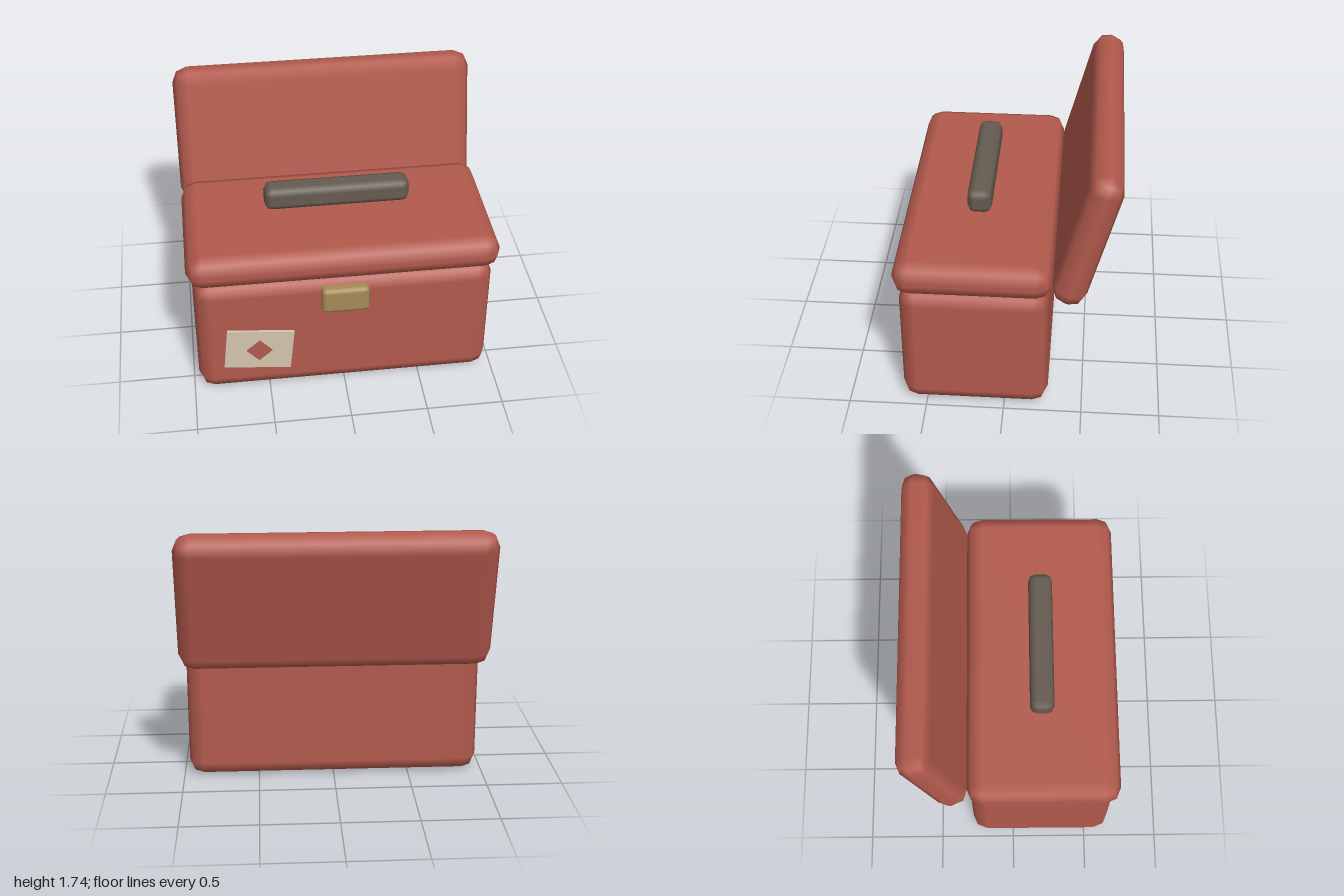
import * as THREE from 'three';
import { RoundedBoxGeometry } from 'three/addons/geometries/RoundedBoxGeometry.js';

const material = (name, color) => {
  const m = new THREE.MeshStandardMaterial({ color });
  m.name = name;
  return m;
};

export function createModel() {
  const model = new THREE.Group();
  model.name = 'toolbox';

  const red = material('brick red', 0xb35a4d);
  const grey = material('warm dark grey', 0x665b51);
  const brass = material('dull brass', 0xa68c57);
  const paper = material('cream paper', 0xd4c5ad);

  const add = (name, geometry, mat, x, y, z) => {
    const mesh = new THREE.Mesh(geometry, mat);
    mesh.name = name;
    mesh.position.set(x, y, z);
    model.add(mesh);
    return mesh;
  };
  // Box with one 45 degree facet along each edge, shaded smoothly
  const softBox = (w, h, d, r) => new RoundedBoxGeometry(w, h, d, 1, r);

  // Main case and the tray closing it
  add('body', softBox(1.93, 0.87, 0.94, 0.1), red, 0, 0.435, 0.19);
  add('topTray', softBox(2, 0.22, 0.99, 0.1), red, 0, 0.97, 0.195);

  // Lid standing open, leaning back
  const lid = add('openLid', softBox(2, 0.94, 0.22, 0.1), red, 0, 1.285, -0.5);
  lid.rotation.x = -0.26;

  // Floating carry bar
  add('handle', softBox(0.935, 0.155, 0.155, 0.045), grey, 0, 1.222, 0.188);

  // Front catch
  add('latch', softBox(0.31, 0.185, 0.09, 0.03), brass, 0, 0.72, 0.66);

  // Crooked label with a diamond
  const label = add('label', new THREE.BoxGeometry(0.437, 0.307, 0.03), paper, -0.565, 0.347, 0.663);
  label.rotation.z = -0.1;
  const diamond = add('labelDiamond', new THREE.BoxGeometry(0.117, 0.117, 0.01), red, -0.563, 0.347, 0.682);
  diamond.rotation.z = Math.PI / 4 - 0.05;

  return model;
}
